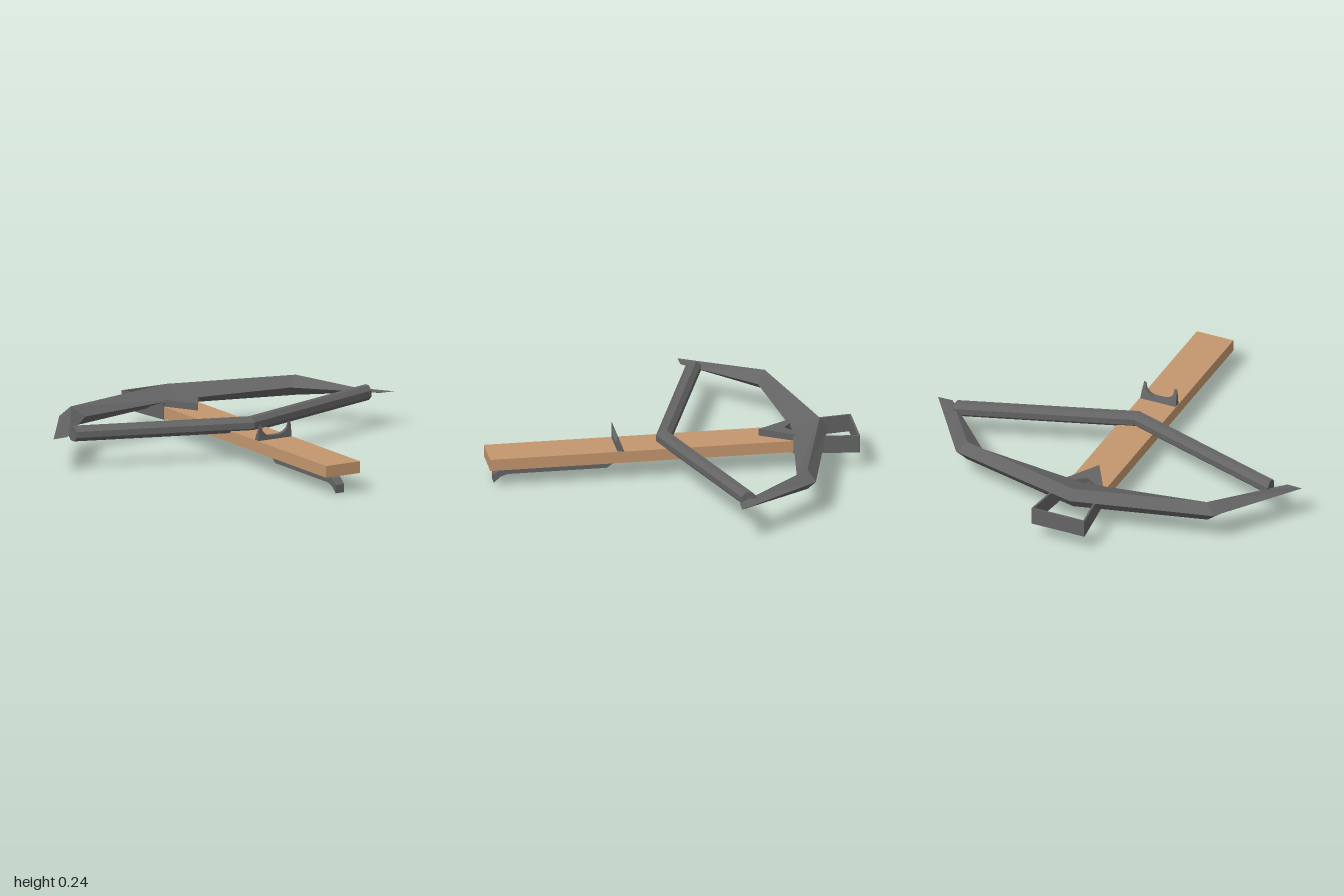
import * as THREE from 'three';

const metal = new THREE.MeshStandardMaterial({ color: 0x646464, flatShading: true });
metal.name = 'grey metal';
const wood = new THREE.MeshStandardMaterial({ color: 0xc4976e, flatShading: true });
wood.name = 'light wood';

// Closed skin through rings of [x, y, z]; rings run along +x, each ordered top, front, bottom, back
function loft(rings) {
  const n = rings[0].length, pos = [];
  const tri = (a, b, c) => pos.push(...a, ...b, ...c);
  for (let i = 0; i < rings.length - 1; i++) {
    for (let j = 0; j < n; j++) {
      const k = (j + 1) % n, r = rings[i], s = rings[i + 1];
      tri(r[j], r[k], s[k]);
      tri(r[j], s[k], s[j]);
    }
  }
  const first = rings[0], last = rings[rings.length - 1];
  for (let k = 2; k < n; k++) {
    const m = (k + 1) % n;
    tri(last[1], last[k], last[m]);
    tri(first[1], first[m], first[k]);
  }
  const g = new THREE.BufferGeometry();
  g.setAttribute('position', new THREE.Float32BufferAttribute(pos, 3));
  g.computeVertexNormals();
  return g;
}

function extrude(points, depth) {
  const shape = new THREE.Shape(points.map(([x, y]) => new THREE.Vector2(x, y)));
  return new THREE.ExtrudeGeometry(shape, { depth, bevelEnabled: false });
}

export function createModel() {
  const model = new THREE.Group();
  const add = (name, geometry, material = metal) => {
    const mesh = new THREE.Mesh(geometry, material);
    mesh.name = name;
    model.add(mesh);
    return mesh;
  };

  // Wooden stock
  add('stock', new THREE.BoxGeometry(0.2, 0.06, 1.54), wood).position.set(0, 0.13, 0.16);

  // Bow: diamond section, bent at the elbows and flattened at the tips
  const centre = [[0, 0.235, -0.75], [0, 0.185, -0.61], [0, 0.132, -0.75], [0, 0.185, -0.79]];
  const elbow = [[0.66, 0.235, -0.58], [0.6, 0.185, -0.535], [0.66, 0.132, -0.58], [0.705, 0.185, -0.615]];
  const tip = [[0.85, 0.19, -0.28], [0.92, 0.186, -0.195], [0.85, 0.18, -0.28], [1, 0.184, -0.195]];
  const mirror = (ring) => ring.map(([x, y, z]) => [-x, y, z]);
  add('bow', loft([mirror(tip), mirror(elbow), centre, elbow, tip]));

  // Thick eight-sided string
  const stringRing = (x, z) => Array.from({ length: 8 }, (_, i) => {
    const a = (i + 0.5) * Math.PI / 4;
    return [x, 0.185 + 0.04 * Math.cos(a), z + 0.042 * Math.sin(a)];
  });
  add('string', loft([stringRing(-0.855, -0.25), stringRing(0.01, 0.04), stringRing(0.875, -0.25)]));

  // Foot stirrup: cross plate and two side plates
  add('stirrupFront', new THREE.BoxGeometry(0.29, 0.09, 0.01)).position.set(0, 0.14, -0.925);
  for (const s of [-1, 1]) {
    const dx = -0.04, dz = 0.32;
    const side = add('stirrupSide', new THREE.BoxGeometry(0.01, 0.09, Math.hypot(dx, dz)));
    side.position.set(s * 0.12, 0.14, -0.76);
    side.rotation.y = s * Math.atan2(dx, dz);
  }

  // V-shaped bow mount, wrapping above and below the stock
  const mount = extrude([[-0.1, 0.61], [0, 0.44], [0.1, 0.61], [0.05, 0.61], [0, 0.57], [-0.05, 0.61]], 0.1);
  mount.rotateX(-Math.PI / 2);
  add('bowMount', mount).position.y = 0.095;

  // Rear sight: notched wedge that thins to its two horns
  const half = [[0.097, 0.158], [0.095, 0.2], [0.09, 0.243], [0.078, 0.243], [0.073, 0.21], [0.055, 0.19], [0.03, 0.18]];
  const sight = extrude([...half, ...half.map(([x, y]) => [-x, y]).reverse()], 0.035);
  const p = sight.attributes.position;
  for (let i = 0; i < p.count; i++) {
    const taper = (0.248 - p.getY(i)) / 0.09;
    p.setZ(i, 0.287 - (0.035 - p.getZ(i)) * taper);
  }
  sight.computeVertexNormals();
  add('rearSight', sight);

  // Long trigger lever under the stock
  const lever = extrude([
    [-0.9, 0.005], [-0.865, 0.035], [-0.83, 0.047], [-0.33, 0.047], [-0.29, 0.075], [-0.28, 0.102],
    [-0.3, 0.102], [-0.335, 0.086], [-0.83, 0.086], [-0.865, 0.075], [-0.9, 0.047]], 0.05);
  lever.rotateY(Math.PI / 2);
  add('triggerLever', lever).position.x = -0.025;

  // Stand the model on the ground
  model.position.y = -0.005;
  return model;
}
